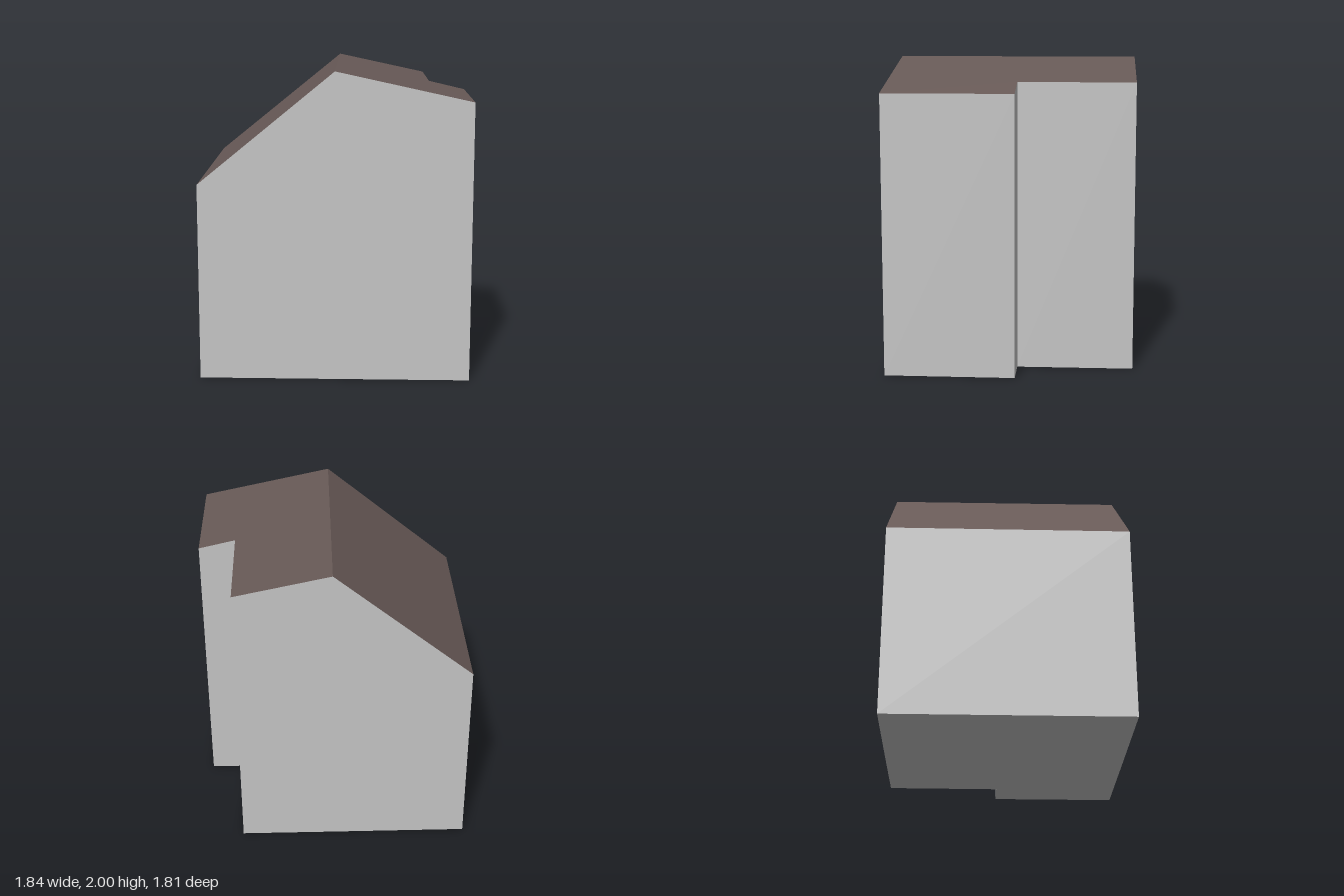
import * as THREE from 'three';

// House corners, clockwise from above: x, z, wall-top height
const CORNERS = [
  [-0.72, -0.905, 1.28],  // 0 back eave, low side
  [0.16, -0.79, 2],       // 1 back ridge
  [0.772, -0.709, 1.867], // 2 back eave, high side
  [0.68, 0.038, 1.867],   // 3 inner corner of the step
  [0.92, 0.07, 1.81],     // 4 outer corner of the step
  [0.812, 0.902, 1.81],   // 5 front eave, high side
  [-0.053, 0.782, 2],     // 6 front ridge
  [-0.922, 0.66, 1.28],   // 7 front eave, low side
];
const low = (i) => [CORNERS[i][0], 0, CORNERS[i][1]];
const top = (i) => [CORNERS[i][0], CORNERS[i][2], CORNERS[i][1]];

// Flat-faced mesh from polygons, each fanned from its first corner
function polygonMesh(name, polygons, material) {
  const positions = [];
  for (const p of polygons) {
    for (let i = 1; i < p.length - 1; i++) positions.push(...p[0], ...p[i], ...p[i + 1]);
  }
  const geometry = new THREE.BufferGeometry();
  geometry.setAttribute('position', new THREE.Float32BufferAttribute(positions, 3));
  geometry.computeVertexNormals();
  const mesh = new THREE.Mesh(geometry, material);
  mesh.name = name;
  return mesh;
}

export function createModel() {
  const wallMaterial = new THREE.MeshStandardMaterial({ color: 0xc4c4c4 });
  wallMaterial.name = 'wall grey';
  const roofMaterial = new THREE.MeshStandardMaterial({ color: 0x685a57 });
  roofMaterial.name = 'roof brown';

  const group = new THREE.Group();
  group.name = 'house';

  // Walls follow the outline and rise to the roof
  const walls = CORNERS.map((_, i) => {
    const j = (i + 1) % CORNERS.length;
    return [low(j), low(i), top(i), top(j)];
  });
  group.add(polygonMesh('walls', walls, wallMaterial));

  // Floor, fanned from the inner corner
  group.add(polygonMesh('floor', [[3, 4, 5, 6, 7, 0, 1, 2].map(low)], wallMaterial));

  // Long steep slope and short shallow slope with the step cut out
  group.add(polygonMesh('steepRoof', [[7, 6, 1, 0].map(top)], roofMaterial));
  group.add(polygonMesh('shallowRoof', [[3, 2, 1, 6, 5, 4].map(top)], roofMaterial));
  return group;
}
